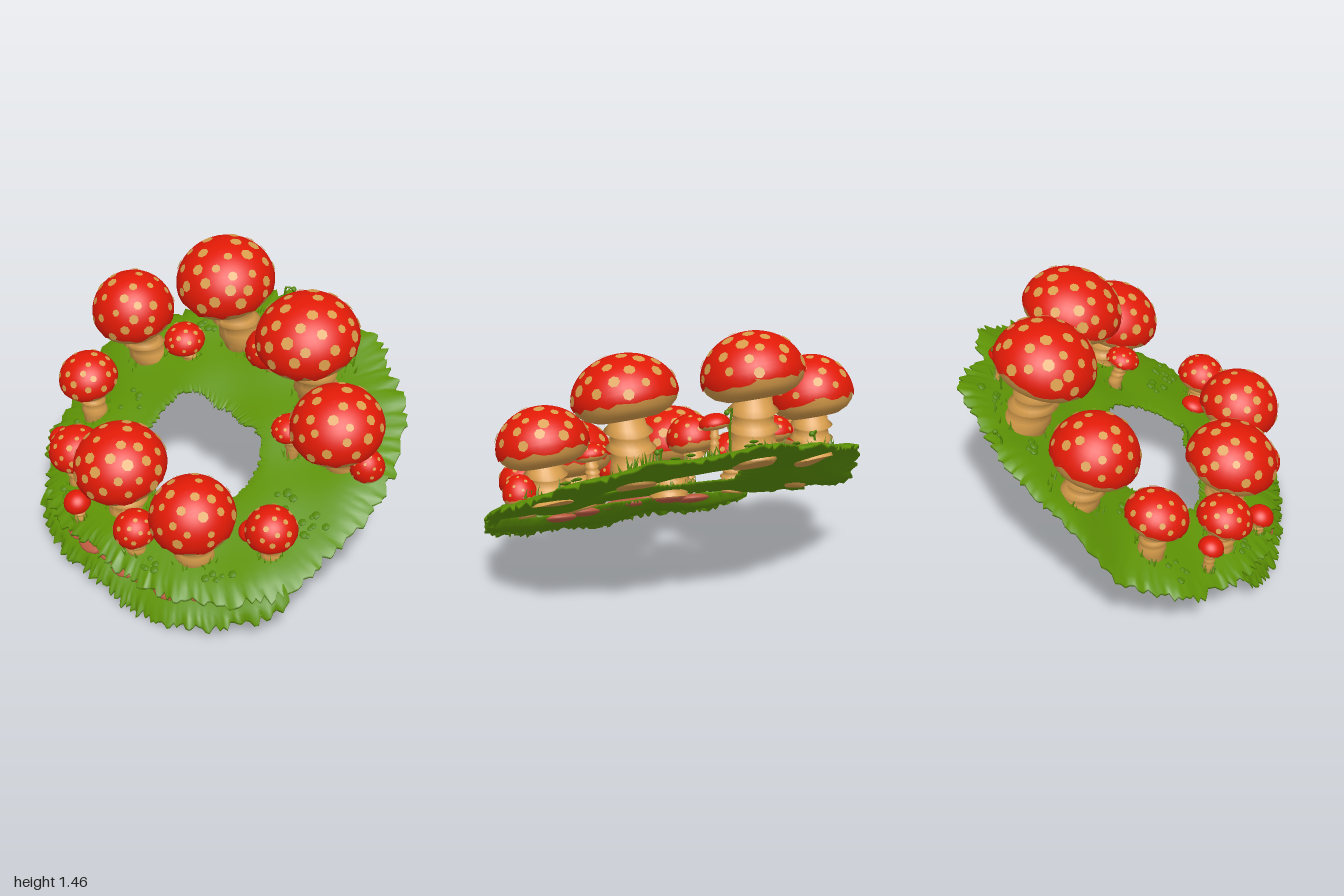
import * as THREE from 'three';
import { mergeGeometries } from 'three/addons/utils/BufferGeometryUtils.js';

const mat = (name, color, side = THREE.FrontSide) => {
  const m = new THREE.MeshStandardMaterial({ color, side });
  m.name = name;
  return m;
};
const V2 = (x, y) => new THREE.Vector2(x, y);
const V3 = (x, y, z) => new THREE.Vector3(x, y, z);

function seeded(seed) {
  return () => {
    seed = (seed * 16807) % 2147483647;
    return seed / 2147483647;
  };
}

// Ring outlines as x, z pairs, read around the centre CZ
const CZ = 0.1;
const OUTER = [[-.25, -.8], [0, -.8], [.1, -.76], [.2, -.81], [.4, -.82], [.55, -.72], [.72, -.65], [.85, -.5],
  [.95, -.3], [.98, -.1], [.99, 0], [.95, .2], [.95, .35], [.85, .5], [.7, .62], [.5, .74], [.25, .78], [.1, .79],
  [-.1, .78], [-.35, .75], [-.55, .68], [-.7, .55], [-.9, .4], [-.92, .25], [-.97, .1], [-.96, -.13], [-.87, -.22],
  [-.75, -.4], [-.65, -.5], [-.45, -.65]];
const INNER = [[-.32, -.06], [-.1, -.1], [.1, -.1], [.27, -.08], [.34, 0], [.38, .1], [.36, .25], [.22, .28],
  [.08, .36], [-.1, .4], [-.3, .38], [-.34, .2]];

// Radius of an outline at a given angle
function radial(points) {
  const p = points.map(([x, z]) => [Math.atan2(z - CZ, x), Math.hypot(x, z - CZ)]).sort((a, b) => a[0] - b[0]);
  const n = p.length, T = Math.PI * 2;
  const all = [[p[n - 1][0] - T, p[n - 1][1]], ...p, [p[0][0] + T, p[0][1]]];
  return (angle) => {
    const a = Math.atan2(Math.sin(angle), Math.cos(angle));
    const i = all.findIndex((q, k) => k > 0 && q[0] >= a);
    const [a0, r0] = all[i - 1], [a1, r1] = all[i];
    return r0 + (r1 - r0) * (a - a0) / (a1 - a0);
  };
}
const outerR = radial(OUTER), innerR = radial(INNER);

// Height of the sloping ground: twisted on the left, lifted at front and back
function ground(x, z) {
  const twist = x > 0 ? -0.1 : -0.1 + 0.15 * THREE.MathUtils.smoothstep(z, -0.15, 0.15);
  const lift = 0.13 * Math.max(0, z - 0.45) + 0.1 * Math.max(0, -z - 0.5);
  return 0.62 - 0.5 * z + twist * x + lift + 0.012 * Math.sin(11 * x + 2) * Math.sin(10 * z);
}

// Turf sheet with a ragged rim, lofted from closed cross-sections
function turf(a0, a1, segs, inner, drop, grow, rand) {
  const pos = [], idx = [], steps = 12, loop = 2 * (steps + 1);
  for (let i = 0; i <= segs; i++) {
    const u = i / segs, a = a0 + (a1 - a0) * u;
    const seam = i === 0 || i === segs;
    const j0 = seam ? 0 : rand() - 0.5, j1 = seam ? 0 : rand() - 0.5, jy = seam ? 0 : rand();
    const ri = innerR(a), ro = outerR(a) + grow, s0 = inner(u);
    for (let k = 0; k < loop; k++) {
      const top = k <= steps;
      const t = (top ? k : loop - 1 - k) / steps;
      const r = ri + (ro - ri) * (s0 + (1 - s0) * t) + j0 * 0.03 * Math.pow(1 - t, 12) + j1 * 0.045 * Math.pow(t, 12);
      const x = Math.cos(a) * r, z = CZ + Math.sin(a) * r;
      const thick = 0.012 + 0.045 * Math.sin(Math.PI * t);
      const droop = 0.03 * Math.pow(t, 6) + 0.03 * jy * Math.pow(t, 12);
      pos.push(x, ground(x, z) - droop - drop(u, t) - (top ? 0 : thick), z);
    }
  }
  for (let i = 0; i < segs; i++) for (let k = 0; k < loop; k++) {
    const p = i * loop + k, q = i * loop + (k + 1) % loop;
    idx.push(p, p + loop, q, q, p + loop, q + loop);
  }
  const g = new THREE.BufferGeometry();
  g.setAttribute('position', new THREE.Float32BufferAttribute(pos, 3));
  g.setIndex(idx);
  g.computeVertexNormals();
  return g;
}

// Cap x, z, radius, top y, bottom y, stem base y, stem radius
const MUSHROOMS = [
  [-.30, -.36, .26, 1.46, 1.12, .86, .115], [.33, -.33, .265, 1.38, 1.05, .8, .11],
  [-.70, -.06, .22, 1.23, .9, .7, .1], [.71, -.16, .235, 1.09, .78, .6, .1],
  [-.73, .24, .16, .84, .63, .49, .065], [-.46, .55, .145, .63, .44, .3, .065],
  [-.10, .55, .24, .8, .48, .29, .1], [.44, .55, .215, .76, .45, .3, .095],
  [.75, .32, .13, .65, .46, .36, .052], [.17, .69, .11, .51, .35, .27, .05],
  [-.25, .72, .07, .43, .33, .27, .03], [-.65, .5, .065, .53, .44, .35, .026],
  [.6, .3, .07, .48, .41, .37, .028], [-.45, -.2, .11, .97, .83, .74, .045],
  [.01, -.38, .125, 1.07, .88, .8, .05], [-.04, -.62, .075, 1.15, 1.07, .95, .022],
  [.46, -.08, .09, .86, .76, .66, .035], [.84, -.25, .088, .78, .62, .58, .035]];

export function createModel() {
  const model = new THREE.Group();
  model.name = 'mushroomRing';
  const rand = seeded(4711);
  const red = mat('cap red', 0xe21a06), tan = mat('stem tan', 0xd89d4b);
  const grass = mat('grass green', 0x5e9305, THREE.DoubleSide);
  const leaf = mat('leaf green', 0x548806, THREE.DoubleSide);
  const clay = mat('clay pink', 0xc05c42);
  const add = (name, geo, m, parent = model) => {
    const mesh = new THREE.Mesh(geo, m);
    mesh.name = name;
    parent.add(mesh);
    return mesh;
  };

  // Turf ring and the lower crescent at the front, closing up towards the hole
  add('turfRing', turf(0, Math.PI * 2, 280, () => 0, () => 0, 0, rand), grass);
  const bulge = (u) => Math.max(0, Math.sin(Math.PI * u));
  add('lowerTurf', turf(0.3, 2.35, 110, (u) => 0.85 - 0.4 * bulge(u),
    (u, t) => 0.03 + 0.115 * Math.sqrt(bulge(u)) * (0.35 + 0.65 * t), 0.03, rand), grass);

  // Flat clay lumps between both turf layers
  for (let i = 0; i < 7; i++) {
    const a = 0.72 + i * 0.21, r = innerR(a) + (outerR(a) - innerR(a)) * 0.74;
    const x = Math.cos(a) * r, z = CZ + Math.sin(a) * r;
    const lump = add('clayLump', new THREE.SphereGeometry(0.1 + 0.02 * (i % 2), 18, 12), clay);
    lump.scale.set(1, 0.25, 1);
    lump.rotation.x = 0.44;
    lump.position.set(x, ground(x, z) - 0.088, z);
  }

  const blades = [], leaves = [];
  const blade = (x, z, h, w) => {
    const g = new THREE.ConeGeometry(w, h, 4).translate(0, h / 2, 0);
    g.rotateZ((rand() - 0.5) * 0.8).rotateX((rand() - 0.5) * 0.8);
    blades.push(g.translate(x, ground(x, z) - 0.01, z));
  };

  for (const [x, z, R, top, low, base, sr] of MUSHROOMS) {
    const group = new THREE.Group(), head = new THREE.Group();
    group.name = 'mushroom';
    head.name = 'mushroomHead';
    model.add(group);
    group.add(head);
    const H = top - low, rimY = low + 0.34 * H, b = 0.66 * H;
    head.position.set(x, rimY, z);
    head.rotation.set(0.31, 0, -0.11);

    // Cap dome with a ragged rim
    const dome = [V2(R * 0.975, -0.07 * H)];
    for (let i = 0; i <= 12; i++) {
      const t = i / 12 * Math.PI / 2;
      dome.push(V2(Math.max(0, R * Math.cos(t)), b * Math.sin(t)));
    }
    const cap = new THREE.LatheGeometry(dome, 36), cp = cap.attributes.position;
    for (let i = 0; i < 36; i++) {
      const k = i * dome.length;
      cp.setY(k, cp.getY(k) + (rand() - 0.5) * 0.09 * H);
    }
    cp.setY(36 * dome.length, cp.getY(0));
    add('cap', cap, red, head);

    // Rounded underside
    const under = [[0, .05], [.3, .03], [.55, .03], [.78, .1], [.92, .2], [.985, .32]];
    add('capUnderside', new THREE.LatheGeometry(under.map(([r, y]) => V2(r * R, (y - 0.34) * H)), 32), tan, head);

    // Leaning stem with collar rings, its foot cut along the slope under the turf
    const sx = x - Math.sign(x) * 0.1 * R, sz = z - R * (z < 0 ? 0.45 : 0.15);
    const len = low + 0.12 * H - base, depth = sr > 0.05 ? 0.068 : 0.03;
    const rings = [[1, 0], [1.1, .1], [.98, .25], [.92, .4], [1.12, .46], [.9, .52], [.86, .66], [1.1, .72], [.86, .8], [.8, 1]];
    const stem = new THREE.LatheGeometry([V2(0, base - 0.21), V2(sr * 0.85, base - 0.2),
      ...rings.map(([r, t]) => V2(r * sr, base + t * len))], 24);
    const sp = stem.attributes.position;
    for (let i = 0; i < sp.count; i++) {
      const t = Math.max(0, (sp.getY(i) - base) / len);
      const px = sp.getX(i) + sx + (x - sx) * t, pz = sp.getZ(i) + sz + (z - sz) * t;
      sp.setXYZ(i, px, Math.max(sp.getY(i), ground(px, pz) - depth), pz);
    }
    stem.computeVertexNormals();
    add('stem', stem, tan, group);

    // Pale spots laid on the dome
    if (R > 0.08) {
      const spots = [], n = Math.round(12 + 95 * R);
      for (let i = 0; i < n; i++) {
        const c = 0.98 - 0.9 * (i + 0.5) / n, s = Math.sqrt(1 - c * c);
        const a = i * 2.39996 + (rand() - 0.5) * 0.3;
        const nrm = V3(Math.cos(a) * s / R, c / b, Math.sin(a) * s / R).normalize();
        const p = V3(Math.cos(a) * s * R, b * c, Math.sin(a) * s * R).addScaledVector(nrm, 0.004);
        const spot = new THREE.CircleGeometry(R * (0.085 + 0.045 * rand()), 7);
        spot.applyQuaternion(new THREE.Quaternion().setFromUnitVectors(V3(0, 0, 1), nrm));
        spots.push(spot.translate(p.x, p.y, p.z));
      }
      add('capSpots', mergeGeometries(spots), tan, head);
    }

    // Grass around the stem foot
    for (let i = 0; i < 40 * sr + 12; i++) {
      const a = rand() * Math.PI * 2, r = sr * (1.05 + 0.3 * rand());
      blade(sx + Math.cos(a) * r, sz + Math.sin(a) * r, 0.03 + 0.035 * rand(), 0.006);
    }
  }

  // Tuft behind the ring
  for (let i = 0; i < 14; i++) blade(.32 + (rand() - .5) * .18, -.63 + (rand() - .5) * .06, .05 + .05 * rand(), .008);
  add('grassBlades', mergeGeometries(blades), grass);

  // Round leaves in small patches
  for (const [px, pz] of [[.82, .07], [.8, .17], [.62, .1], [-.55, .1], [-.2, -.66], [.1, -.64], [-.5, -.4],
    [.3, .7], [.62, .55], [-.4, .66], [-.78, .36], [.6, -.45]]) {
    for (let i = 0; i < 5; i++) {
      const x = px + (rand() - 0.5) * 0.13, z = pz + (rand() - 0.5) * 0.11;
      const g = new THREE.SphereGeometry(0.014 + 0.01 * rand(), 8, 5).scale(1, 0.35, 1);
      leaves.push(g.rotateX(0.46).translate(x, ground(x, z) + 0.012, z));
    }
  }
  add('roundLeaves', mergeGeometries(leaves), leaf);

  // Curling sprigs
  for (const [x, z, h] of [[-.12, -.62, .23], [.25, .3, .09], [-.57, -.53, .05], [.22, -.64, .08]]) {
    const y = ground(x, z) - 0.01;
    const path = new THREE.CatmullRomCurve3([V3(x, y, z), V3(x + .005, y + h * .6, z), V3(x, y + h, z - .01), V3(x + .03, y + h * .95, z - .035)]);
    add('sprig', new THREE.TubeGeometry(path, 12, 0.006, 6), leaf);
    add('sprigTip', new THREE.SphereGeometry(0.014, 8, 6), leaf).position.set(x + .03, y + h * .95, z - .035);
  }
  return model;
}
